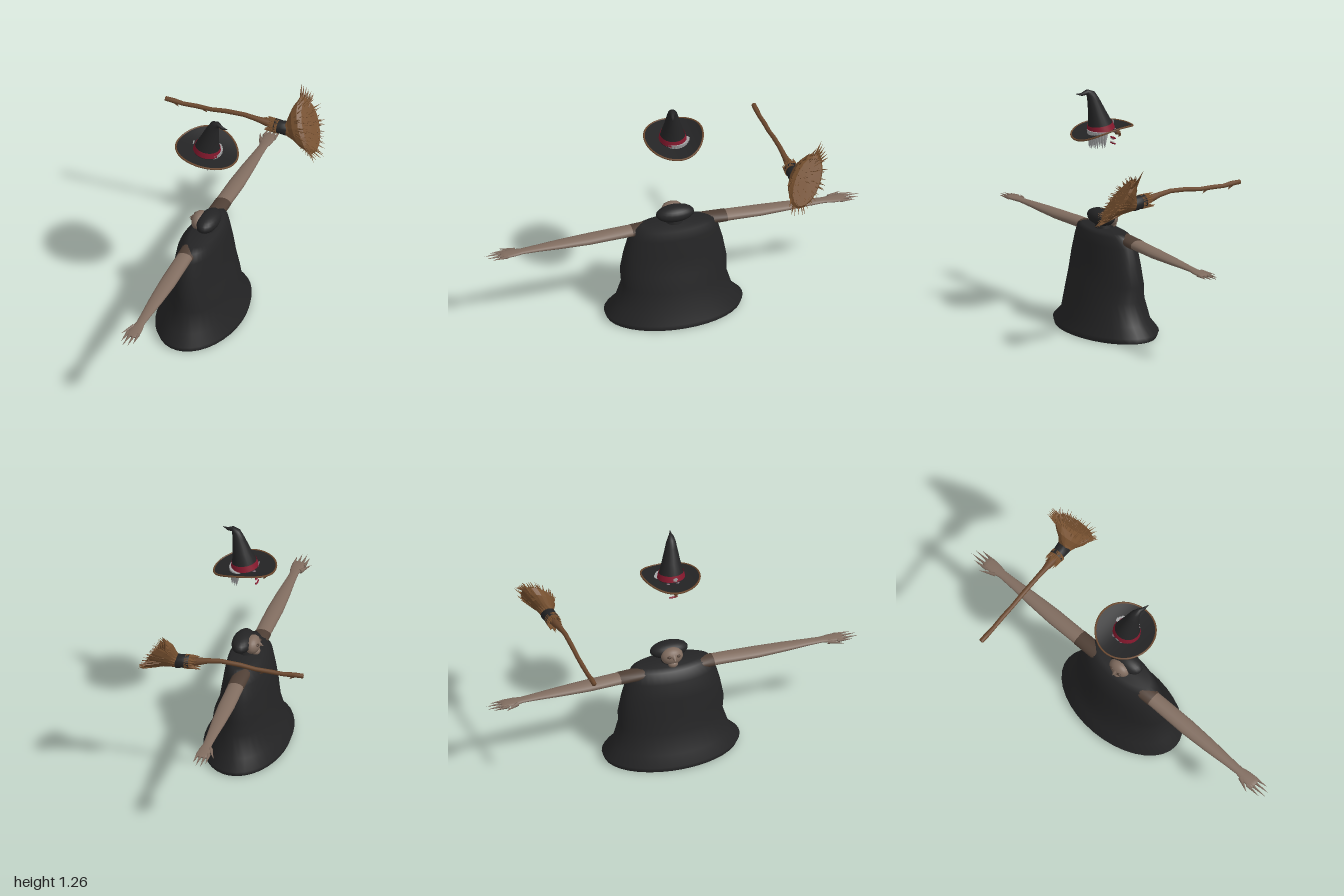
import * as THREE from 'three';
import { mergeGeometries } from 'three/addons/utils/BufferGeometryUtils.js';

const V = (x, y, z) => new THREE.Vector3(x, y, z);

function makeMaterial(name, color, extra = {}) {
  const m = new THREE.MeshStandardMaterial({ color, ...extra });
  m.name = name;
  return m;
}

// Skin a row of elliptical rings { c: centre, u, v: half axes }, with u x v along the row
function loft(rings, n = 20) {
  const pos = [], idx = [];
  for (const { c, u, v } of rings) {
    for (let i = 0; i < n; i++) {
      const a = (i / n) * Math.PI * 2;
      const p = c.clone().addScaledVector(u, Math.cos(a)).addScaledVector(v, Math.sin(a));
      pos.push(p.x, p.y, p.z);
    }
  }
  for (let r = 0; r < rings.length - 1; r++) {
    for (let i = 0; i < n; i++) {
      const a = r * n + i, b = r * n + ((i + 1) % n);
      idx.push(a, b, a + n, b, b + n, a + n);
    }
  }
  const g = new THREE.BufferGeometry();
  g.setAttribute('position', new THREE.Float32BufferAttribute(pos, 3));
  g.setIndex(idx);
  g.computeVertexNormals();
  return g;
}

// Tapering limb through [x, y, z, radius] points, swept mostly along +x
function limb(points, n = 10) {
  const rings = points.map(([x, y, z, r], i) => {
    const a = points[Math.max(i - 1, 0)], b = points[Math.min(i + 1, points.length - 1)];
    const t = V(b[0] - a[0], b[1] - a[1], b[2] - a[2]).normalize();
    const u = V(0, 0, 1).cross(t).normalize();
    return { c: V(x, y, z), u: u.clone().multiplyScalar(r), v: t.clone().cross(u).multiplyScalar(r) };
  });
  return loft(rings, n);
}

// Thin cone from a to b
function spike(a, b, r, sides = 5) {
  const d = b.clone().sub(a), g = new THREE.ConeGeometry(r, d.length(), sides);
  g.applyQuaternion(new THREE.Quaternion().setFromUnitVectors(V(0, 1, 0), d.clone().normalize()));
  return g.translate((a.x + b.x) / 2, (a.y + b.y) / 2, (a.z + b.z) / 2);
}

function ellipsoid(x, y, z, rx, ry, rz) {
  return new THREE.SphereGeometry(1, 20, 14).scale(rx, ry, rz).translate(x, y, z);
}

export function createModel() {
  const model = new THREE.Group();
  const black = makeMaterial('black cloth', 0x242425, { side: THREE.DoubleSide });
  const skin = makeMaterial('skin', 0x806c5f);
  const darkSkin = makeMaterial('dark brown cuff', 0x4f3f35);
  const straw = makeMaterial('straw', 0x76502f, { flatShading: true });
  const wood = makeMaterial('wood', 0x6b482e);
  const red = makeMaterial('red', 0x85182d, { side: THREE.DoubleSide });
  const grey = makeMaterial('grey hair', 0xa2a3a4, { side: THREE.DoubleSide });
  const white = makeMaterial('white', 0xd8d4d0);
  const purple = makeMaterial('eye purple', 0x75606c);
  const add = (parent, name, geo, mat) => {
    const m = new THREE.Mesh(geo, mat);
    m.name = name;
    parent.add(m);
    return m;
  };
  const group = (name) => {
    const g = new THREE.Group();
    g.name = name;
    model.add(g);
    return g;
  };
  let seed = 7;
  const rnd = () => (seed = (seed * 16807) % 2147483647) / 2147483647;

  // Robe: height, x min, x max, z half width
  const robe = [
    [0.005, -0.19, 0.23, 0.35], [0.035, -0.2, 0.236, 0.362], [0.085, -0.163, 0.2, 0.31],
    [0.2, -0.135, 0.186, 0.275], [0.28, -0.121, 0.156, 0.28], [0.38, -0.106, 0.141, 0.262],
    [0.475, -0.09, 0.126, 0.236], [0.525, -0.055, 0.116, 0.208], [0.54, -0.03, 0.1, 0.17], [0.542, 0.03, 0.03, 0],
  ].map(([y, a, b, z]) => ({ c: V((a + b) / 2, y, 0), u: V(0, 0, z), v: V((b - a) / 2, 0, 0) }));
  add(model, 'robe', loft(robe, 36), black);

  // Shoes under the robe
  for (const z of [-0.085, 0.085]) {
    const shoe = group('shoe');
    add(shoe, 'shoeSole', ellipsoid(0, 0.035, z, 0.085, 0.022, 0.03), black);
    add(shoe, 'shoeAnkle', new THREE.CylinderGeometry(0.025, 0.03, 0.1, 12).translate(0.045, 0.08, z), black);
  }

  // Head looking along -x, with dark hair behind
  const head = group('head');
  add(head, 'hairCap', ellipsoid(0.048, 0.597, 0, 0.054, 0.043, 0.1), black);
  add(head, 'neck', new THREE.CylinderGeometry(0.04, 0.05, 0.05, 16).translate(0.03, 0.55, 0), black);
  add(head, 'face', ellipsoid(-0.002, 0.587, 0, 0.04, 0.046, 0.058), skin);
  add(head, 'chin', ellipsoid(-0.02, 0.55, 0, 0.022, 0.02, 0.026), skin);
  add(head, 'headNose', spike(V(-0.03, 0.6, 0), V(-0.06, 0.585, 0), 0.014, 8), skin);
  for (const s of [-1, 1]) add(head, 'eyeSocket', ellipsoid(-0.034, 0.602, s * 0.024, 0.008, 0.007, 0.011), darkSkin);

  // Arms stretched sideways: z, y, x half width, y half height
  const armRows = [
    [0.14, 0.507, 0.04, 0.027], [0.28, 0.504, 0.042, 0.026], [0.45, 0.498, 0.043, 0.023], [0.6, 0.496, 0.036, 0.018],
    [0.72, 0.494, 0.027, 0.013], [0.8, 0.492, 0.023, 0.01], [0.84, 0.491, 0.031, 0.01], [0.89, 0.49, 0.034, 0.009], [0.91, 0.489, 0.026, 0.006], [0.912, 0.489, 0, 0],
  ];
  for (const s of [1, -1]) {
    const arm = group(s > 0 ? 'frontArm' : 'backArm');
    const ring = ([z, y, a, b]) => ({ c: V(0.008, y, z), u: V(a, 0, 0), v: V(0, b, 0) });
    add(arm, 'forearm', loft(armRows.map(ring), 14), skin);
    const cuffEnd = s > 0 ? 0.22 : 0.28;
    add(arm, 'shoulderCuff', loft([[0.15, 0.507, 0.044, 0.03], [cuffEnd, 0.504, 0.044, 0.028], [cuffEnd, 0.504, 0.03, 0.02]].map(ring), 14), darkSkin);
    const fingers = [[-0.022, -0.028, 0.965], [-0.006, -0.008, 0.995], [0.014, 0.017, 0.99], [0.032, 0.038, 0.965]]
      .map(([x0, x1, z]) => spike(V(x0, 0.489, 0.88), V(x1, 0.486, z), 0.01, 6));
    fingers.push(spike(V(-0.016, 0.49, 0.83), V(-0.054, 0.487, 0.905), 0.012, 6));
    add(arm, 'fingers', mergeGeometries(fingers), skin);
    arm.scale.z = s;
  }

  // Pointed hat with a bent tip
  const hat = group('hat');
  const hatRing = (x, y, z, r, tilt) => ({ c: V(x, y, z), u: V(0, 0, r), v: V(Math.cos(tilt) * r, -Math.sin(tilt) * r, 0) });
  add(hat, 'crown', loft([
    hatRing(0.042, 1.05, 0.01, 0.07, 0.15), hatRing(0.046, 1.085, 0.012, 0.062, 0.15), hatRing(0.06, 1.14, 0.016, 0.047, 0.15),
    hatRing(0.078, 1.205, 0.022, 0.032, 0.25), hatRing(0.092, 1.24, 0.026, 0.024, 0.6), hatRing(0.112, 1.254, 0.032, 0.014, 1.4),
    hatRing(0.14, 1.243, 0.04, 0.008, 1.7), hatRing(0.172, 1.249, 0.048, 0, 1.4),
  ], 20), black);
  add(hat, 'band', loft([hatRing(0.042, 1.055, 0.01, 0.072, 0.15), hatRing(0.046, 1.086, 0.012, 0.065, 0.15)], 24), red);
  const brimY = (x, z) => 1.045 - 0.13 * (x - 0.04) + (z < 0 ? 2.1 : 0.6) * z * z;
  const brim = new THREE.RingGeometry(0.055, 0.16, 36, 5).rotateX(-Math.PI / 2).scale(1, 1, 0.94).translate(0.039, 0, 0.005);
  const bp = brim.attributes.position;
  for (let i = 0; i < bp.count; i++) bp.setY(i, brimY(bp.getX(i), bp.getZ(i)));
  brim.computeVertexNormals();
  add(hat, 'brim', brim, black);
  const rimPoints = Array.from({ length: 24 }, (_, i) => {
    const a = (i / 24) * Math.PI * 2, x = 0.039 + 0.159 * Math.cos(a), z = 0.005 + 0.149 * Math.sin(a);
    return V(x, brimY(x, z) - 0.002, z);
  });
  add(hat, 'brimTrim', new THREE.TubeGeometry(new THREE.CatmullRomCurve3(rimPoints, true), 48, 0.005, 6, true), wood);
  add(hat, 'bandStar', new THREE.CircleGeometry(0.013, 5).rotateY(-Math.PI / 2).translate(-0.032, 1.083, 0.01), grey);

  // Ragged hair hanging below the back of the hat
  const locks = [];
  for (let i = 0; i < 13; i++) {
    const a = -1.25 + (i / 12) * 2.5, x = 0.042 + 0.06 * Math.cos(a), z = 0.06 * Math.sin(a);
    const drop = 0.07 + 0.035 * Math.cos(a) * rnd() + (i % 3 === 0 ? 0.015 : 0);
    locks.push(spike(V(x, 1.055, z), V(x + 0.004, 1.055 - drop, z * 1.1), 0.018, 6));
  }
  add(hat, 'hairLocks', mergeGeometries(locks), grey);

  // Facial features hanging below the hat
  const features = group('facialFeatures');
  add(features, 'hookedNose', limb([[-0.032, 1.055, 0, 0], [-0.037, 1.043, 0, 0.009], [-0.05, 1.026, 0, 0.014], [-0.06, 1.022, 0, 0.011], [-0.066, 1.008, 0, 0.006], [-0.056, 0.998, 0, 0]]), wood);
  for (const z of [-0.026, 0.026]) {
    add(features, 'eye', new THREE.SphereGeometry(0.012, 14, 10).translate(-0.018, 1.047, z), purple);
    add(features, 'pupil', ellipsoid(-0.029, 1.047, z, 0.003, 0.005, 0.005), black);
  }
  for (const y of [1.001, 0.973]) {
    add(features, 'lip', ellipsoid(-0.025, y, 0, 0.007, 0.005, 0.025), red);
    add(features, 'teeth', new THREE.BoxGeometry(0.006, 0.007, 0.03).translate(-0.023, y + (y > 0.99 ? -0.006 : 0.006), 0), white);
  }

  // Broom: crooked handle
  const broom = group('broom');
  add(broom, 'handle', limb([
    [-0.43, 0.838, -0.56, 0], [-0.428, 0.838, -0.56, 0.012], [-0.38, 0.837, -0.56, 0.013], [-0.33, 0.832, -0.562, 0.011], [-0.26, 0.836, -0.565, 0.012],
    [-0.18, 0.838, -0.566, 0.011], [-0.1, 0.85, -0.568, 0.012], [0, 0.856, -0.57, 0.012], [0.07, 0.847, -0.573, 0.014], [0.12, 0.838, -0.578, 0.02], [0.18, 0.828, -0.58, 0.02],
  ]), wood);
  add(broom, 'handleKnots', mergeGeometries([
    spike(V(-0.385, 0.838, -0.56), V(-0.355, 0.806, -0.56), 0.013, 6), spike(V(-0.22, 0.832, -0.565), V(-0.2, 0.812, -0.565), 0.01, 6),
  ]), wood);
  // Straw ends poking out in front of the binding
  const ends = [];
  for (let i = 0; i < 22; i++) {
    const a = i * 2.4, c = Math.cos(a), s = Math.sin(a);
    ends.push(spike(V(0.185, 0.828 + 0.026 * c, -0.58 + 0.026 * s), V(0.1 + 0.04 * rnd(), 0.832 + 0.036 * c, -0.58 + 0.036 * s), 0.013));
  }
  add(broom, 'strawCollar', mergeGeometries(ends), straw);
  add(broom, 'binding', limb([[0.164, 0.83, -0.58, 0.02], [0.165, 0.83, -0.58, 0.037], [0.2, 0.828, -0.582, 0.035], [0.235, 0.826, -0.585, 0.038], [0.236, 0.826, -0.585, 0.02]], 16), black);

  // Fan of straw: a skinned core that widens diagonally, with loose ends
  const wide = V(-0.06, 0.125, -0.085), thick = V(0.04, -0.04, -0.06);
  const fan = (x, y, z, k, j = k) => ({ c: V(x, y, z), u: wide.clone().multiplyScalar(k), v: thick.clone().multiplyScalar(-j) });
  const root = { c: V(0.225, 0.826, -0.584), u: V(0, 0.026, -0.02), v: V(0, -0.02, -0.026).negate() };
  add(broom, 'strawFan', loft([
    root, fan(0.265, 0.835, -0.59, 0.42, 0.55), fan(0.3, 0.85, -0.598, 0.72, 0.8),
    fan(0.335, 0.862, -0.607, 0.9, 0.9), fan(0.35, 0.865, -0.61, 0.8, 0.75), fan(0.352, 0.866, -0.61, 0, 0),
  ], 18), straw);
  const loose = [];
  for (let i = 0; i < 150; i++) {
    const a = rnd() * Math.PI * 2, k = Math.sqrt(rnd()) * 0.95, c = Math.cos(a) * k, s = Math.sin(a) * k;
    const from = V(0.29, 0.845, -0.597).addScaledVector(wide, c * 0.6).addScaledVector(thick, s * 0.65);
    const to = V(0.345 + 0.035 * rnd(), 0.865, -0.61).addScaledVector(wide, c * 1.2).addScaledVector(thick, s * 1.2);
    loose.push(spike(from, to, 0.009));
  }
  for (let i = 0; i < 6; i++) {
    loose.push(spike(V(0.275 + 0.007 * i, 0.93, -0.66), V(0.255 + 0.012 * i, 1.035 - 0.013 * i, -0.715 - 0.004 * i), 0.011));
    loose.push(spike(V(0.35 + 0.005 * i, 0.8, -0.56), V(0.41 - 0.018 * i, 0.715 + 0.008 * i, -0.505 - 0.006 * i), 0.011));
  }
  add(broom, 'looseStraw', mergeGeometries(loose), straw);

  return model;
}
